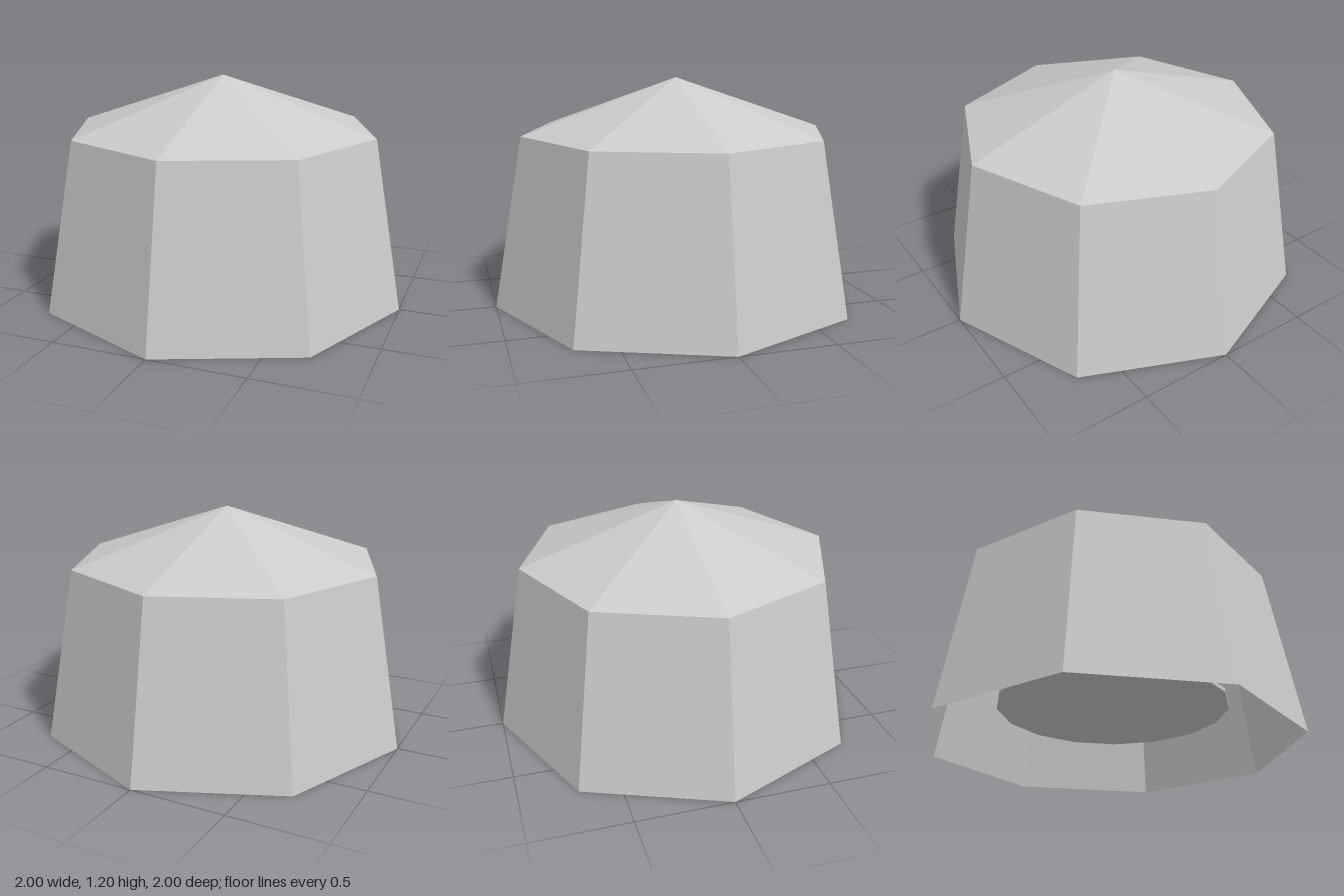
import * as THREE from 'three';

const SIDES = 8;
const BASE_RADIUS = 1;
const EAVES_RADIUS = 0.84;
const EAVES_HEIGHT = 0.91;
const PEAK_HEIGHT = 1.2;

export function createModel() {
  const group = new THREE.Group();
  group.name = 'tent';
  const material = new THREE.MeshStandardMaterial({
    color: 0xcccccc, flatShading: true, side: THREE.DoubleSide,
  });

  const add = (name, geometry, y) => {
    const mesh = new THREE.Mesh(geometry, material);
    mesh.name = name;
    mesh.position.y = y;
    group.add(mesh);
    return mesh;
  };

  // Tapered octagonal wall, open below
  add('walls', new THREE.CylinderGeometry(
    EAVES_RADIUS, BASE_RADIUS, EAVES_HEIGHT, SIDES, 1, true), EAVES_HEIGHT / 2);

  // Shallow pointed roof, resting on the wall's top edge
  const roofHeight = PEAK_HEIGHT - EAVES_HEIGHT;
  add('roof', new THREE.ConeGeometry(
    EAVES_RADIUS, roofHeight, SIDES, 1, true), EAVES_HEIGHT + roofHeight / 2);

  // Thin round platform inside, raised off the ground
  const platform = add('platform', new THREE.CylinderGeometry(0.62, 0.62, 0.02, 16), 0.21);
  platform.rotation.y = Math.PI / 16;

  return group;
}
